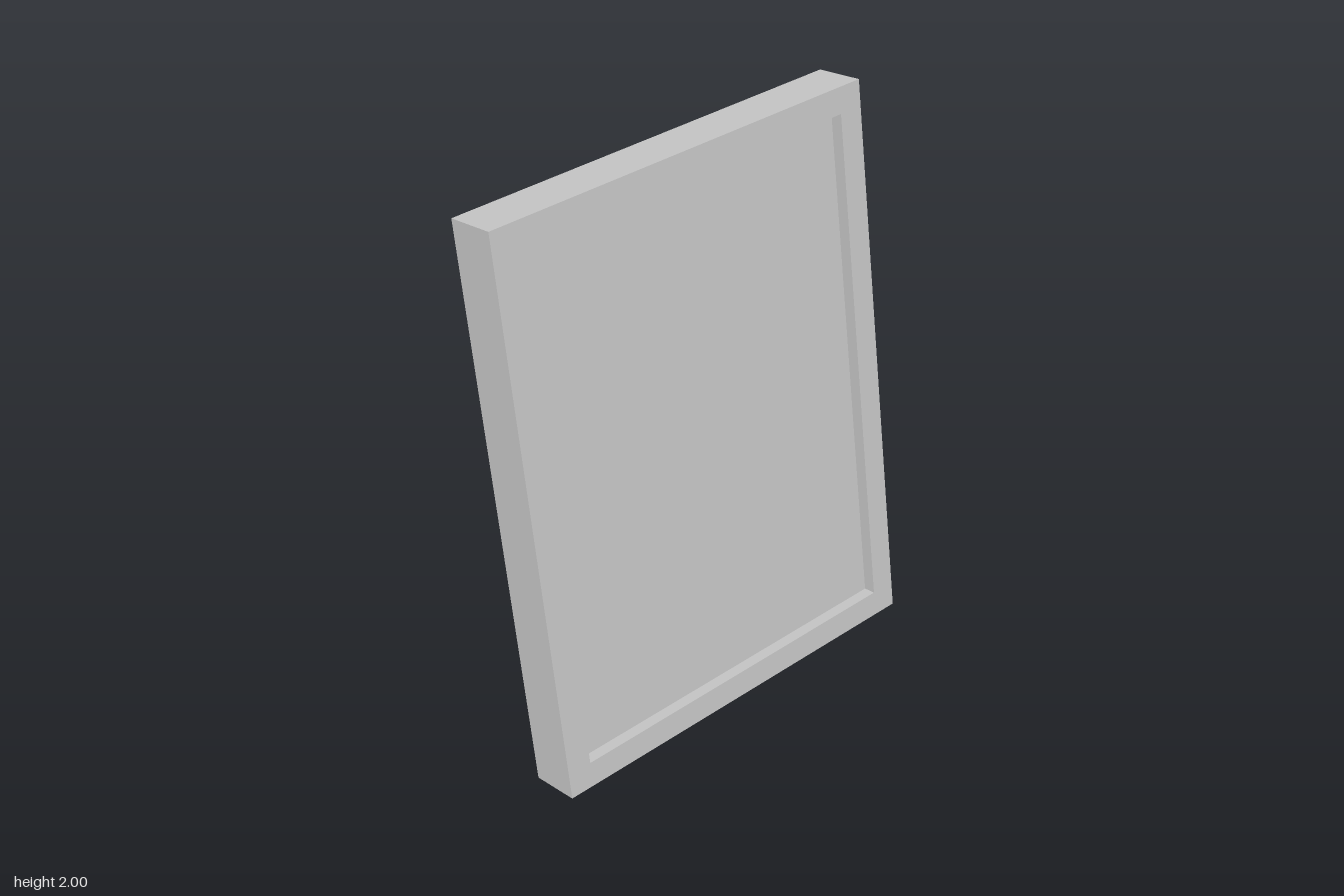
import * as THREE from 'three';

const WIDTH = 1.52, HEIGHT = 1.995, DEPTH = 0.176;
const BORDER = 0.091, RECESS = 0.044, TILT = THREE.MathUtils.degToRad(8);

// Rectangle centred on the origin, as four corners
function rectangle(w, h) {
  return [[-w, -h], [w, -h], [w, h], [-w, h]].map(([x, y]) => new THREE.Vector2(x / 2, y / 2));
}

export function createModel() {
  const lightGrey = new THREE.MeshStandardMaterial({ color: 0xcccccc });
  lightGrey.name = 'lightGrey';

  const innerWidth = WIDTH - 2 * BORDER, innerHeight = HEIGHT - 2 * BORDER;

  // Rectangular border, open in the middle
  const outline = new THREE.Shape(rectangle(WIDTH, HEIGHT));
  outline.holes.push(new THREE.Path(rectangle(innerWidth, innerHeight).reverse()));
  const frameGeometry = new THREE.ExtrudeGeometry(outline, { depth: DEPTH, bevelEnabled: false });
  frameGeometry.translate(0, 0, -DEPTH / 2);
  const frame = new THREE.Mesh(frameGeometry, lightGrey);
  frame.name = 'frame';

  // Panel set back equally from the front and the rear of the border
  const panel = new THREE.Mesh(
    new THREE.BoxGeometry(innerWidth, innerHeight, DEPTH - 2 * RECESS), lightGrey);
  panel.name = 'panel';

  // The whole piece leans backwards on its rear bottom edge
  const leaningFrame = new THREE.Group();
  leaningFrame.name = 'leaningFrame';
  leaningFrame.add(frame, panel);
  leaningFrame.rotation.x = -TILT;
  leaningFrame.position.y = (HEIGHT * Math.cos(TILT) + DEPTH * Math.sin(TILT)) / 2;

  const model = new THREE.Group();
  model.name = 'framedPanel';
  model.add(leaningFrame);
  return model;
}
